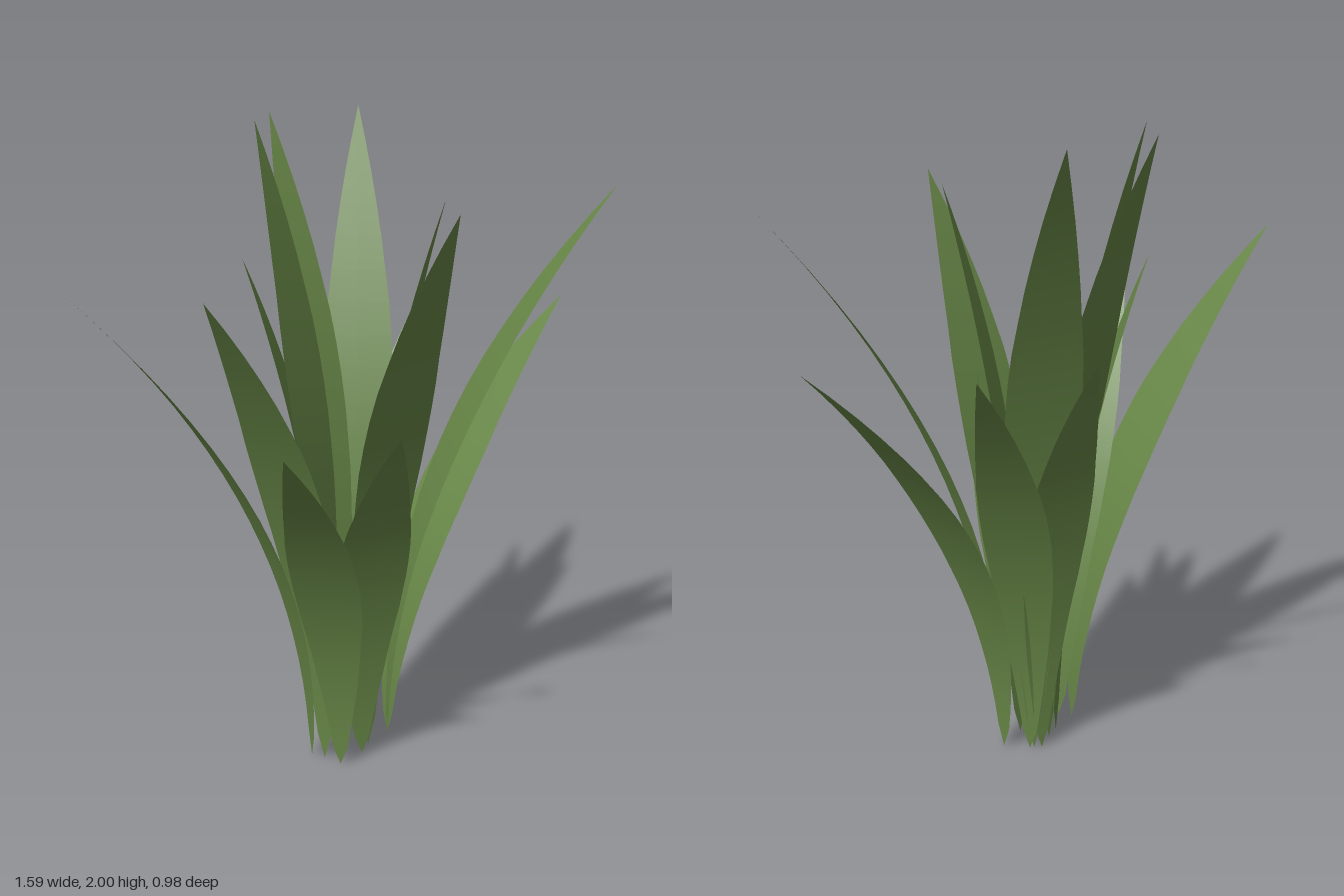
import * as THREE from 'three';

// Each blade: base x, base z, tip x, tip height, tip z, width scale
const BLADES = [
  // shortest
  [-0.15, 0.03, -0.65, 1.2, 0.24, 0.95],
  [-0.05, 0.04, -0.30, 1.2, 0.37, 1],
  [-0.03, 0.03, -0.03, 1.2, 0.20, 0.7],
  // short
  [0.115, 0.02, 0.79, 1.4, 0.23, 1.03],
  [0.085, -0.06, 0.62, 1.4, -0.21, 0.95],
  [0.06, -0.09, 0.30, 1.4, -0.40, 0.9],
  // medium
  [-0.16, -0.08, -0.80, 1.6, -0.44, 0.95],
  [-0.15, -0.035, -0.70, 1.6, 0.02, 1],
  [-0.03, -0.08, -0.18, 1.6, -0.31, 0.95],
  // tall
  [0.01, 0.02, -0.14, 1.8, 0.44, 1.03],
  [-0.03, 0.02, 0.07, 1.8, 0.25, 0.97],
  [0.1, 0.03, 0.65, 1.8, 0.49, 0.82],
  // tallest
  [0.075, -0.07, 0.53, 2.0, -0.42, 1],
  [-0.005, -0.08, 0.16, 2.0, -0.49, 0.8],
  [-0.06, -0.075, -0.08, 2.0, -0.34, 0.85],
];

// Half width along the blade, from pointed foot to pointed tip
const WIDTH = [
  [0, 0], [0.05, 0.025], [0.25, 0.067], [0.45, 0.102], [0.57, 0.112],
  [0.68, 0.105], [0.82, 0.07], [0.92, 0.035], [1, 0],
];

function halfWidth(t) {
  const i = Math.max(1, WIDTH.findIndex((p) => p[0] >= t));
  const [t0, w0] = WIDTH[i - 1];
  const [t1, w1] = WIDTH[i];
  return THREE.MathUtils.lerp(w0, w1, (t - t0) / (t1 - t0));
}

// A flat ribbon that arches outward, its width square to the lean
function bladeGeometry([bx, bz, tx, h, tz, scale]) {
  const geometry = new THREE.PlaneGeometry(2, 1, 2, 20);
  const pos = geometry.attributes.position;
  const dx = tx - bx, dz = tz - bz;
  const len = Math.hypot(dx, dz);
  for (let i = 0; i < pos.count; i++) {
    const t = THREE.MathUtils.clamp(pos.getY(i) + 0.5, 0, 1);
    const side = pos.getX(i) * halfWidth(t) * scale;
    const lean = Math.pow(t, 2.2);
    pos.setXYZ(
      i,
      bx + dx * lean + (dz / len) * side,
      h * t,
      bz + dz * lean - (dx / len) * side
    );
  }
  geometry.computeVertexNormals();
  return geometry;
}

export function createModel() {
  const group = new THREE.Group();
  group.name = 'grassTuft';
  const green = new THREE.MeshStandardMaterial({ color: 0x668546, side: THREE.DoubleSide });
  green.name = 'leafGreen';
  BLADES.forEach((blade, i) => {
    const mesh = new THREE.Mesh(bladeGeometry(blade), green);
    mesh.name = `blade${i + 1}`;
    group.add(mesh);
  });
  return group;
}
